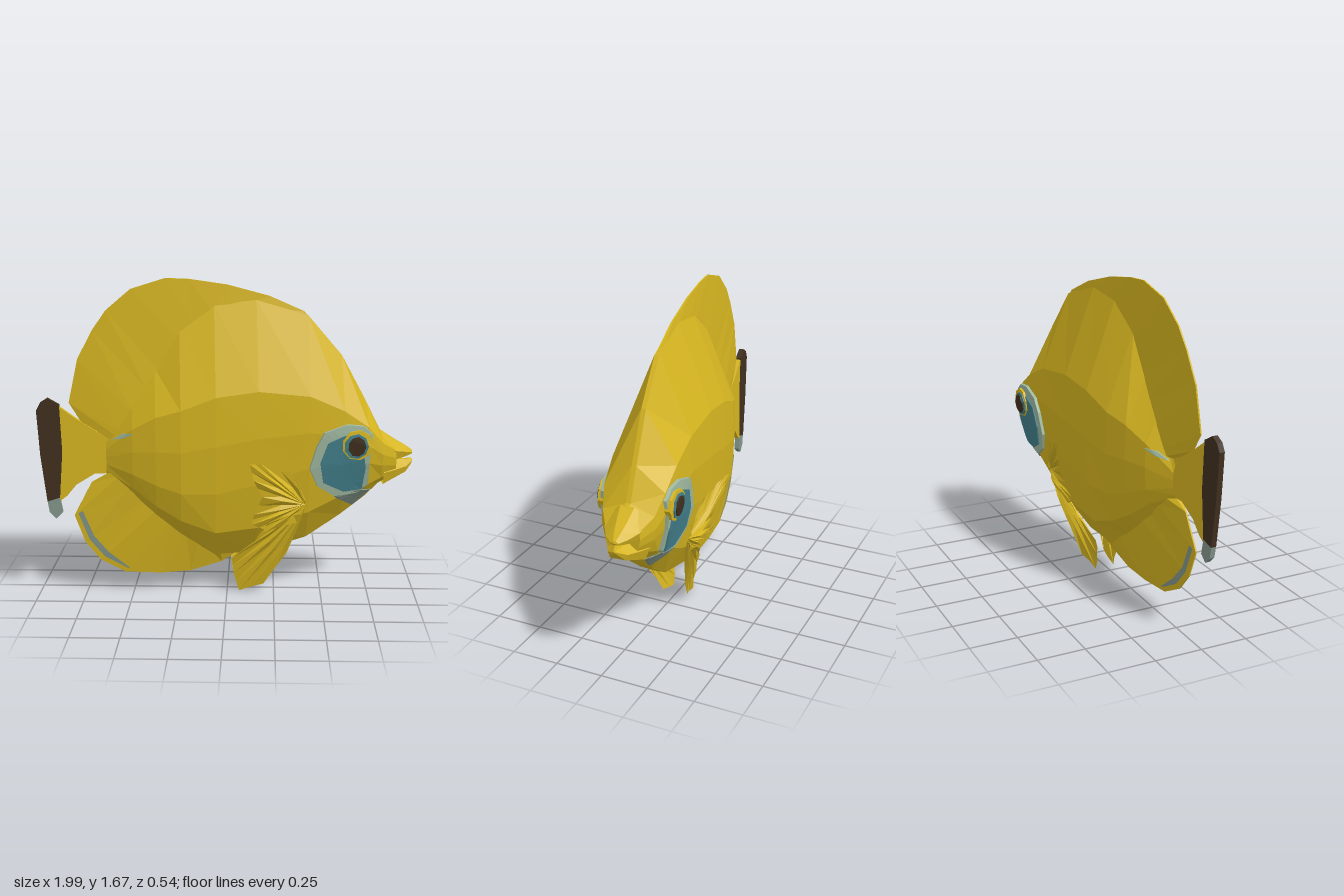
import * as THREE from 'three';

const paint = (name, color) => new THREE.MeshStandardMaterial({ name, color, side: THREE.DoubleSide });
const yellow = paint('yellow', 0xd6b520);
const brown = paint('dark brown', 0x40301f);
const teal = paint('teal', 0x43808c);
const pale = paint('pale green', 0x9fb8a0);
const grey = paint('grey green', 0x83968a);

// Body stations: x, top, upper ridge, lower ridge, bottom, half width
const stations = [
  [-0.64, 0.82, 0.78, 0.70, 0.64, 0.025], [-0.5, 1.06, 0.90, 0.66, 0.53, 0.10],
  [-0.38, 1.21, 0.97, 0.61, 0.41, 0.145], [-0.25, 1.42, 1.01, 0.57, 0.31, 0.18],
  [-0.07, 1.54, 1.08, 0.57, 0.20, 0.195], [0.15, 1.56, 1.11, 0.62, 0.21, 0.195],
  [0.42, 1.48, 1.08, 0.70, 0.29, 0.185], [0.6, 1.27, 1.0, 0.74, 0.41, 0.175],
  [0.73, 1.03, 0.91, 0.72, 0.51, 0.165], [0.81, 0.87, 0.82, 0.70, 0.585, 0.14],
  [0.89, 0.80, 0.77, 0.69, 0.62, 0.09],
];
// Half outline of a station, from back to belly, as [y, z]
const half = ([, top, u, l, bot, w]) =>
  [[top, 0.012], [u, 0.95 * w], [(u + l) / 2, w], [l, 0.93 * w], [bot + 0.4 * (l - bot), 0.72 * w], [bot, 0.18 * w]];

// Half width of the body at a point of its side
function surf(x, y) {
  let i = 0;
  while (i < stations.length - 2 && stations[i + 1][0] < x) i++;
  const a = stations[i], b = stations[i + 1];
  const t = THREE.MathUtils.clamp((x - a[0]) / (b[0] - a[0]), 0, 1);
  const h = half(a.map((v, k) => v + (b[k] - v) * t));
  if (y >= h[0][0]) return h[0][1];
  for (let k = 0; k < h.length - 1; k++) {
    const [y0, z0] = h[k], [y1, z1] = h[k + 1];
    if (y >= y1) return z0 + (z1 - z0) * (y - y0) / (y1 - y0);
  }
  return h[5][1];
}

// Faceted surface through rows of points
function skin(rows, closed = false) {
  const pos = [], n = rows[0].length;
  for (let i = 0; i < rows.length - 1; i++) {
    for (let j = 0; j < (closed ? n : n - 1); j++) {
      const k = (j + 1) % n, a = rows[i][j], b = rows[i + 1][j], c = rows[i + 1][k], d = rows[i][k];
      pos.push(...a, ...b, ...c, ...a, ...c, ...d);
    }
  }
  const g = new THREE.BufferGeometry();
  g.setAttribute('position', new THREE.Float32BufferAttribute(pos, 3));
  g.computeVertexNormals();
  return g;
}
const flip = rows => rows.map(r => r.map(([x, y, z]) => [x, y, -z]).reverse());
const mix = (a, b, t) => a.map((v, i) => v + (b[i] - v) * t);

export function createModel() {
  const fish = new THREE.Group();
  fish.name = 'fish';
  const add = (name, geo, mat) => {
    const m = new THREE.Mesh(geo, mat);
    m.name = name;
    fish.add(m);
  };
  const addPair = (name, rows, mat, closed) => {
    add('left' + name, skin(flip(rows), closed), mat);
    add('right' + name, skin(rows, closed), mat);
  };

  // Body
  const loop = s => {
    const h = half(s);
    return [...h.map(([y, z]) => [s[0], y, z]), ...h.slice().reverse().map(([y, z]) => [s[0], y, -z])];
  };
  const snoutCap = Array(12).fill([0.89, 0.71, 0]);
  add('body', skin([...stations.map(loop), snoutCap], true), yellow);

  // Jaws: x, top, bottom, half width
  const jaw = list => skin(list.map(([x, t, b, w]) =>
    [[x, t, w * 0.3], [x, (t + b) / 2, w], [x, b, w * 0.8], [x, b, -w * 0.8], [x, (t + b) / 2, -w], [x, t, -w * 0.3]]), true);
  add('upperJaw', jaw([[0.82, 0.86, 0.72, 0.12], [0.89, 0.815, 0.72, 0.09], [0.95, 0.78, 0.73, 0.055], [0.985, 0.757, 0.737, 0.022], [0.99, 0.747, 0.746, 0.001]]), yellow);
  add('lowerJaw', jaw([[0.82, 0.72, 0.59, 0.11], [0.89, 0.71, 0.62, 0.08], [0.95, 0.705, 0.645, 0.05], [0.985, 0.71, 0.685, 0.02], [0.992, 0.702, 0.70, 0.001]]), yellow);

  // Upright fins: [edge x, edge y, root x, root y], thick at the root and thin at the edge
  const rootHalf = (x, y) => Math.min(0.045, surf(x, y) * 0.75);
  const fin = list => skin(list.map(([ex, ey, rx, ry]) => {
    const t = rootHalf(rx, ry);
    return [[rx, ry, t], [ex, ey, 0.004], [ex, ey, -0.004], [rx, ry, -t]];
  }));
  add('dorsalFin', fin([
    [-0.63, 0.84, -0.6, 0.83], [-0.77, 0.93, -0.58, 0.85], [-0.83, 1.03, -0.56, 0.88], [-0.78, 1.26, -0.5, 0.98],
    [-0.7, 1.41, -0.42, 1.1], [-0.63, 1.51, -0.36, 1.2], [-0.5, 1.62, -0.26, 1.36], [-0.32, 1.675, -0.18, 1.43],
    [-0.2, 1.67, -0.08, 1.5], [0, 1.64, 0.02, 1.52], [0.22, 1.58, 0.2, 1.52], [0.4, 1.5, 0.38, 1.46], [0.47, 1.42, 0.46, 1.39],
  ]), yellow);
  const anal = [
    [-0.63, 0.65, -0.6, 0.67], [-0.72, 0.6, -0.57, 0.64], [-0.815, 0.42, -0.52, 0.58], [-0.76, 0.27, -0.45, 0.5],
    [-0.68, 0.17, -0.38, 0.45], [-0.55, 0.1, -0.3, 0.38], [-0.36, 0.09, -0.22, 0.32], [-0.2, 0.1, -0.15, 0.28],
    [-0.03, 0.15, -0.04, 0.23], [0.03, 0.19, 0.04, 0.23],
  ];
  add('analFin', fin(anal), yellow);
  addPair('AnalStripe', anal.slice(2, 6).map(([ex, ey, rx, ry], i) => [0.07, i === 3 ? 0.09 : 0.15].map(t =>
    mix([ex, ey, 0.007], [rx, ry, rootHalf(rx, ry) + 0.003], t))), grey);

  // Tail plates
  const plate = (pts, d) => new THREE.ExtrudeGeometry(new THREE.Shape(pts.map(p => new THREE.Vector2(...p))),
    { depth: d, bevelEnabled: false }).translate(0, 0, -d / 2);
  add('tail', plate([[-0.58, 0.83], [-0.68, 0.87], [-0.8, 0.95], [-0.88, 1.01], [-0.87, 0.77], [-0.89, 0.5],
    [-0.85, 0.53], [-0.8, 0.59], [-0.7, 0.65], [-0.58, 0.65]], 0.026), yellow);
  add('tailBand', plate([[-0.88, 1.02], [-0.94, 1.055], [-0.98, 1.03], [-1, 0.99], [-0.985, 0.75], [-0.955, 0.5],
    [-0.89, 0.52], [-0.87, 0.77]], 0.03), brown);
  add('tailTip', plate([[-0.955, 0.5], [-0.945, 0.44], [-0.91, 0.405], [-0.875, 0.44], [-0.89, 0.52]], 0.028), grey);

  // Side fins: ridged fans from a base point
  const fan = (base, rim) => {
    const rows = [];
    rim.forEach((p, i) => {
      const mid = mix(base, p, 0.5);
      rows.push([base, [mid[0], mid[1], Math.max(mid[2], surf(mid[0], mid[1])) + 0.012], p]);
      if (i < rim.length - 1) {
        const q = mix(p, rim[i + 1], 0.5), m = mix(base, q, 0.5);
        rows.push([base, [m[0], m[1], m[2] - 0.008], [q[0], q[1], q[2] - 0.006]]);
      }
    });
    return rows;
  };
  addPair('PectoralFin', fan([0.4, 0.5, 0.15], [[0.395, 0.54, 0.165], [0.32, 0.69, 0.2], [0.21, 0.705, 0.22],
    [0.16, 0.745, 0.25], [0.1, 0.75, 0.27], [0.12, 0.66, 0.25], [0.17, 0.56, 0.21], [0.13, 0.46, 0.185],
    [0.12, 0.4, 0.17], [0.2, 0.36, 0.15], [0.36, 0.4, 0.14]]), yellow);
  addPair('PelvicFin', fan([0.4, 0.48, 0.145], [[0.37, 0.38, 0.13], [0.31, 0.22, 0.1], [0.19, 0.04, 0.07],
    [0.06, 0, 0.057], [0.03, 0.1, 0.065], [0.02, 0.19, 0.08], [0.14, 0.3, 0.125], [0.2, 0.4, 0.16]]), yellow);

  // Face markings: patches that follow the side of the body
  const patch = (pts, lift) => {
    const c = [0, 1].map(k => pts.reduce((s, p) => s + p[k], 0) / pts.length);
    const line = pts.flatMap((p, i) => [0, 1 / 3, 2 / 3].map(t => mix(p, pts[(i + 1) % pts.length], t)));
    const ring = (s, up) => line.map(p => {
      const [x, y] = mix(c, p, s);
      return [x, y, surf(x, y) + up];
    });
    return [ring(1, -0.012), ring(0.98, lift), ring(0.7, lift), ring(0.4, lift), ring(0.001, lift)];
  };
  const oval = (x, y, rx, ry, n = 9) => Array.from({ length: n }, (_, i) => {
    const a = i / n * Math.PI * 2;
    return [x + rx * Math.cos(a), y + ry * Math.sin(a)];
  });
  addPair('CheekRim', patch([[0.415, 0.7], [0.45, 0.82], [0.49, 0.895], [0.61, 0.935], [0.7, 0.925], [0.75, 0.88],
    [0.735, 0.72], [0.735, 0.6], [0.68, 0.55], [0.55, 0.54], [0.46, 0.6]], 0.016), pale, true);
  addPair('CheekTip', patch([[0.55, 0.54], [0.69, 0.57], [0.76, 0.555], [0.665, 0.465]], 0.012), grey, true);
  addPair('Cheek', patch([[0.47, 0.73], [0.51, 0.84], [0.6, 0.88], [0.69, 0.84], [0.715, 0.7], [0.7, 0.575],
    [0.6, 0.565], [0.49, 0.62]], 0.023), teal, true);
  addPair('EyeLid', patch(oval(0.665, 0.825, 0.085, 0.082), 0.029), yellow, true);
  addPair('EyeRing', patch(oval(0.657, 0.82, 0.066, 0.068), 0.035), teal, true);
  addPair('Pupil', patch(oval(0.66, 0.82, 0.048, 0.054), 0.041), brown, true);

  // Pale streak above the tail root
  addPair('Streak', patch([[-0.61, 0.835], [-0.55, 0.875], [-0.49, 0.88], [-0.55, 0.85]], 0.005), pale, true);

  // The whole fish is turned slightly
  fish.rotation.y = 0.085;
  const model = new THREE.Group();
  model.name = 'model';
  model.add(fish);
  return model;
}
